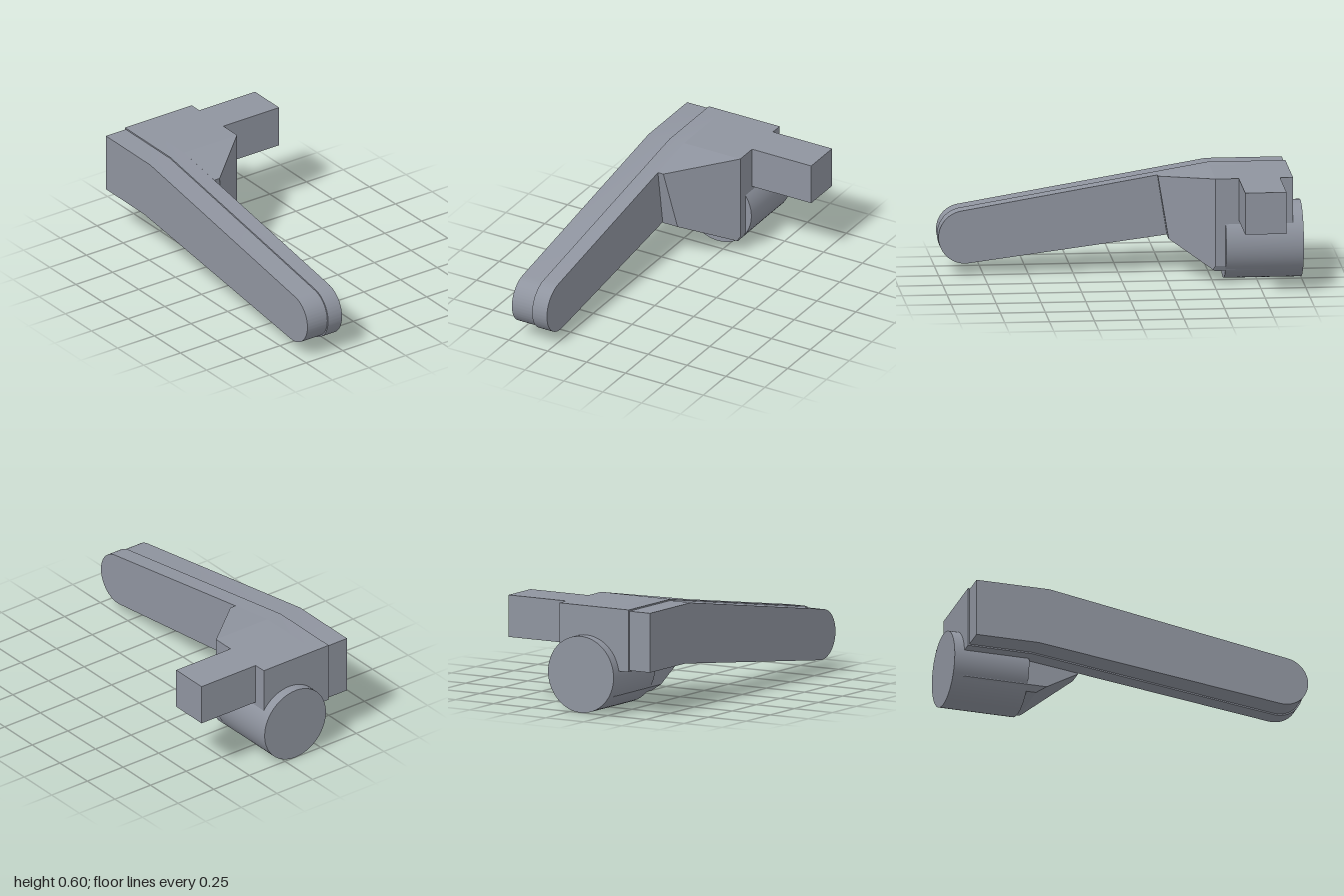
import * as THREE from 'three';
import { toCreasedNormals } from 'three/addons/utils/BufferGeometryUtils.js';
import { ConvexGeometry } from 'three/addons/geometries/ConvexGeometry.js';

// Tapered handle outline with a round tip, shrunk evenly by an inset
function armShape(inset) {
  const i = inset;
  const shape = new THREE.Shape();
  shape.moveTo(-0.943 + i, 0.245 + i);
  shape.lineTo(-0.57, 0.245 + i);
  shape.absarc(0.85, 0.215, 0.15 - i, -1.697, 1.405, false);
  shape.lineTo(-0.51, 0.595 - i);
  shape.lineTo(-0.943 + i, 0.595 - i);
  shape.closePath();
  return shape;
}

function armSlab(inset, z0, z1) {
  const geometry = new THREE.ExtrudeGeometry(armShape(inset), {
    depth: z1 - z0, bevelEnabled: false, curveSegments: 32,
  });
  geometry.translate(0, 0, z0);
  return toCreasedNormals(geometry, 0.4);
}

export function createModel() {
  const group = new THREE.Group();
  const grey = new THREE.MeshStandardMaterial({ color: 0x8f949f });
  grey.name = 'slate grey';

  const add = (name, geometry) => {
    const mesh = new THREE.Mesh(geometry, grey);
    mesh.name = name;
    group.add(mesh);
    return mesh;
  };

  // Handle: full-size back slab and a slightly smaller front cover
  add('handleBack', armSlab(0, 0.255, 0.35));
  add('handleCover', armSlab(0.008, 0.35, 0.485));

  // Wedge-shaped hub behind the handle, chamfered along its underside
  const hubCorners = [
    // front
    [-0.943, 0.1, 0.256], [-0.943, 0.595, 0.256], [-0.51, 0.595, 0.256],
    [-0.22, 0.547, 0.256], [-0.274, 0.203, 0.256], [-0.457, 0.1, 0.256],
    // slanted side
    [-0.22, 0.547, 0.22], [-0.274, 0.203, 0.16], [-0.497, 0.077, -0.09],
    // underside
    [-0.943, 0.07, 0.228], [-0.51, 0.07, 0.228],
    [-0.943, 0.07, -0.085], [-0.51, 0.07, -0.09],
    // back
    [-0.943, 0.595, -0.105], [-0.51, 0.595, -0.105],
    [-0.943, 0.1, -0.105], [-0.51, 0.1, -0.105],
  ];
  add('hub', new ConvexGeometry(hubCorners.map((p) => new THREE.Vector3(...p))));

  // Round barrel lying across the hub
  const barrel = add('barrel', new THREE.CylinderGeometry(0.215, 0.215, 0.433, 64));
  barrel.rotation.z = Math.PI / 2;
  barrel.position.set(-0.7835, 0.215, 0.072);

  // Square spindle at the back
  const spindle = add('spindle', new THREE.BoxGeometry(0.23, 0.236, 0.4));
  spindle.position.set(-0.755, 0.477, -0.285);

  return group;
}
